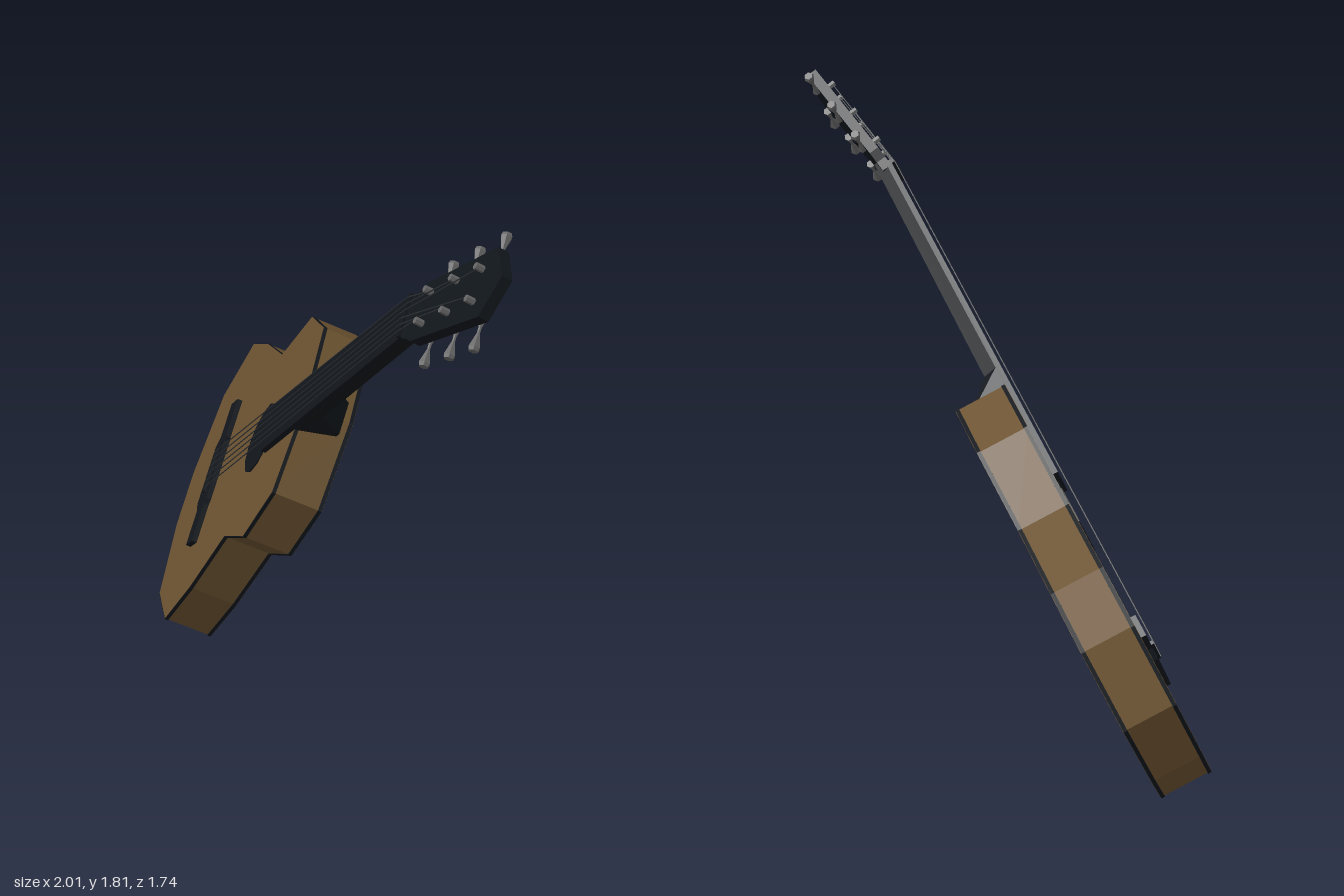
import * as THREE from 'three';

const mat = (color, extra = {}) => new THREE.MeshStandardMaterial({ color, flatShading: true, ...extra });

// Mirror a half outline (x >= 0, listed bottom to top) into a closed one
const mirror = (half) => half.concat(half.filter((p) => p[0] > 0).reverse().map(([x, y]) => [-x, y]));
const shapeOf = (pts) => new THREE.Shape(pts.map(([x, y]) => new THREE.Vector2(x, y)));

// Flat plate of a given outline between two depths
function plate(shape, z0, z1) {
  const g = new THREE.ExtrudeGeometry(shape, { depth: z1 - z0, bevelEnabled: false });
  return g.translate(0, 0, z0);
}

// Solid through four-cornered cross-sections stacked along y
function loft(rings) {
  const pos = [];
  const quad = (a, b, c, d) => pos.push(...a, ...b, ...c, ...a, ...c, ...d);
  for (let i = 0; i < rings.length - 1; i++) {
    for (let k = 0; k < 4; k++) {
      const n = (k + 1) % 4;
      quad(rings[i][k], rings[i][n], rings[i + 1][n], rings[i + 1][k]);
    }
  }
  quad(...[...rings[0]].reverse());
  quad(...rings[rings.length - 1]);
  const g = new THREE.BufferGeometry();
  g.setAttribute('position', new THREE.Float32BufferAttribute(pos, 3));
  g.computeVertexNormals();
  return g;
}

export function createModel() {
  const wood = mat(0x6b5230);
  const black = mat(0x11161b);
  const metal = mat(0x666666);
  const stringMat = mat(0x2c3034);

  // The instrument is built upright, facing +z, then tilted as a whole
  const guitar = new THREE.Group();
  guitar.name = 'guitar';
  const add = (name, geometry, material, parent = guitar) => {
    const m = new THREE.Mesh(geometry, material);
    m.name = name;
    parent.add(m);
    return m;
  };

  // Body with faceted waist
  const depth = 0.174;
  const outline = mirror([
    [0.1, -0.795], [0.39, -0.705], [0.531, -0.483], [0.462, -0.255],
    [0.336, 0.019], [0.397, 0.28], [0.292, 0.485], [0, 0.54],
  ]);
  add('body', plate(shapeOf(outline), -depth, 0), wood);

  // Dark binding around the front and back edges
  const ring = shapeOf(outline.map(([x, y]) => [x * 1.005, y * 1.005]));
  ring.holes.push(new THREE.Path(outline.map(([x, y]) => new THREE.Vector2(x * 0.99, y * 0.99))));
  add('frontBinding', plate(ring, -0.013, -0.001), black);
  add('backBinding', plate(ring, -depth + 0.001, -depth + 0.013), black);

  // Sound hole
  const hole = new THREE.CylinderGeometry(0.125, 0.125, 0.006, 12).rotateX(Math.PI / 2);
  add('soundHole', hole.translate(0, 0.105, 0.002), black);

  // Bridge and saddle
  const bridge = mirror([[0.11, -0.47], [0.14, -0.44], [0.272, -0.44], [0.272, -0.368], [0.13, -0.368], [0.11, -0.36]]);
  add('bridge', plate(shapeOf(bridge), 0, 0.018), black);
  add('saddle', new THREE.BoxGeometry(0.16, 0.012, 0.012).translate(0, -0.405, 0.022), black);

  // Fretboard
  const board = mirror([[0.088, 0.23], [0.07, 1.51]]);
  add('fretboard', plate(shapeOf(board), 0, 0.018), black);

  // Neck with its heel against the body
  const section = (y, w, wb, d) => [[-w, y, 0], [w, y, 0], [wb, y, -d], [-wb, y, -d]];
  add('neck', loft([
    section(0.48, 0.085, 0.055, 0.135),
    section(0.56, 0.084, 0.055, 0.135),
    section(0.65, 0.083, 0.06, 0.045),
    section(1.53, 0.07, 0.052, 0.036),
  ]), black);

  // Headstock leaning back from the nut
  const head = new THREE.Group();
  head.name = 'headstock';
  head.position.set(0, 1.5, 0.012);
  head.rotation.x = -0.165;
  guitar.add(head);
  const headOutline = mirror([[0.07, -0.01], [0.075, 0.025], [0.092, 0.06], [0.107, 0.436], [0, 0.507]]);
  add('headPlate', plate(shapeOf(headOutline), -0.034, 0), black, head);
  add('nut', new THREE.BoxGeometry(0.14, 0.014, 0.018).translate(0, 0, 0.006), black, head);

  // Tuning pegs: post on the face, waisted key behind the edge
  const keyProfile = [[0, 0], [0.015, 0], [0.005, 0.04], [0.005, 0.055], [0.018, 0.1], [0.014, 0.11], [0, 0.11]]
    .map(([r, h]) => new THREE.Vector2(r, h));
  const heights = [0.11, 0.25, 0.385];
  for (const side of [-1, 1]) {
    heights.forEach((y, i) => {
      const post = new THREE.CylinderGeometry(0.011, 0.011, 0.03, 6).rotateX(Math.PI / 2);
      add('tuningPost', post.translate(side * 0.05, y, 0.012), metal, head);
      const key = add('tuningKey', new THREE.LatheGeometry(keyProfile, 6), metal, head);
      key.rotation.z = -side * Math.PI / 2;
      key.position.set(side * (0.056 + i * 0.008), y, -0.04);
    });
  }

  // Strings from the bridge over the nut to the posts
  const rod = (a, b, r) => {
    const g = new THREE.CylinderGeometry(r, r, a.distanceTo(b), 5);
    const m = add('string', g, stringMat);
    m.position.copy(a).lerp(b, 0.5);
    m.quaternion.setFromUnitVectors(new THREE.Vector3(0, 1, 0), b.clone().sub(a).normalize());
  };
  head.updateMatrix();
  for (let i = 0; i < 6; i++) {
    const t = i / 2.5 - 1;
    const side = Math.sign(t);
    const nut = new THREE.Vector3(t * 0.055, 1.5, 0.03);
    rod(new THREE.Vector3(t * 0.07, -0.41, 0.03), nut, 0.002);
    const y = heights[i < 3 ? i : 5 - i];
    rod(nut, new THREE.Vector3(side * 0.042, y, 0.02).applyMatrix4(head.matrix), 0.002);
  }

  // Lean the whole instrument: sideways, lengthwise and facing directions
  const up = new THREE.Vector3(0.69, 0.518, 0.506).normalize();
  const face = new THREE.Vector3(-0.72, 0.42, 0.553).normalize();
  const across = up.clone().cross(face).normalize();
  face.crossVectors(across, up);
  guitar.quaternion.setFromRotationMatrix(new THREE.Matrix4().makeBasis(across, up, face));
  guitar.position.set(-0.44, 0.742, -0.159);

  const model = new THREE.Group();
  model.name = 'leaningGuitar';
  model.add(guitar);
  return model;
}
